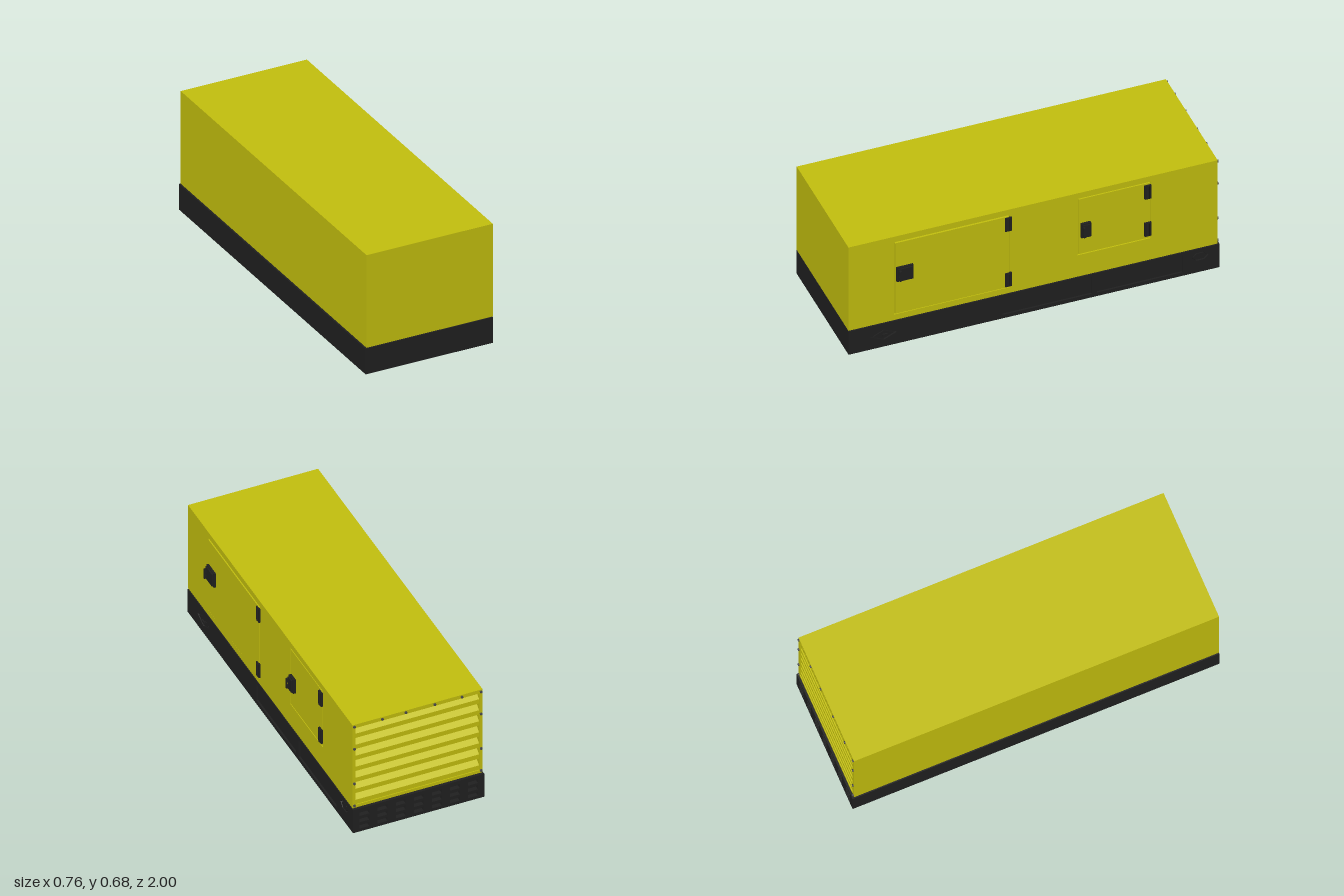
import * as THREE from 'three';

const yellow = new THREE.MeshStandardMaterial({ color: 0xc4c00e });
const black = new THREE.MeshStandardMaterial({ color: 0x202020 });
const steel = new THREE.MeshStandardMaterial({ color: 0x4a4a4a });

export function createModel() {
  const root = new THREE.Group();
  const group = (name, parent = root) => {
    const g = new THREE.Group();
    g.name = name;
    parent.add(g);
    return g;
  };
  const add = (parent, name, geometry, material) => {
    const m = new THREE.Mesh(geometry, material);
    m.name = name;
    parent.add(m);
    return m;
  };
  // Box given by its limits on each axis
  const box = (parent, name, material, [x0, x1], [y0, y1], [z0, z1]) => {
    const m = add(parent, name, new THREE.BoxGeometry(x1 - x0, y1 - y0, z1 - z0), material);
    m.position.set((x0 + x1) / 2, (y0 + y1) / 2, (z0 + z1) / 2);
    return m;
  };
  const poly = (pts) => pts.map(([u, v]) => new THREE.Vector2(u, v));
  const rect = (u0, u1, v0, v1) => poly([[u0, v0], [u1, v0], [u1, v1], [u0, v1]]);
  const plate = (outline, holes, depth) => {
    const s = new THREE.Shape(outline);
    holes.forEach((h) => s.holes.push(new THREE.Path(h)));
    return new THREE.ExtrudeGeometry(s, { depth, bevelEnabled: false });
  };
  // Side plate: outline drawn in (-z, y), thickness running towards +x
  const sidePlate = (parent, name, material, outline, holes, x, depth) => {
    const m = add(parent, name, plate(outline, holes, depth).rotateY(Math.PI / 2), material);
    m.position.x = x;
    return m;
  };

  // Base skid
  const base = group('base');
  box(base, 'baseBlock', black, [-0.38, 0.335], [0, 0.145], [-0.975, 1]);
  const diamond = (u, v, w, h) => poly([[u - w, v], [u, v - h], [u + w, v], [u, v + h]]);
  const hexagon = (u, v, w, h) =>
    poly([[u - w, v], [u - w / 2, v - h], [u + w / 2, v - h], [u + w, v], [u + w / 2, v + h], [u - w / 2, v + h]]);
  sidePlate(base, 'baseSidePlate', black, rect(-1, 0.975, 0, 0.145), [
    rect(-0.17, 0.31, 0.022, 0.128),
    rect(0.34, 0.8, 0.022, 0.128),
    diamond(-0.81, 0.075, 0.072, 0.032),
    hexagon(0.895, 0.098, 0.046, 0.024),
  ], 0.335, 0.01);
  sidePlate(base, 'diamondInset', black, diamond(-0.81, 0.075, 0.056, 0.025), [], 0.335, 0.008);
  sidePlate(base, 'hexagonInset', black, hexagon(0.895, 0.098, 0.036, 0.018), [], 0.335, 0.008);
  box(base, 'diamondPin', black, [0.34, 0.35], [0.067, 0.08], [0.79, 0.82]);

  // Ventilation slots at the back of the base
  const slots = [];
  for (let c = 0; c < 7; c++) {
    for (let r = 0; r < 3; r++) {
      const x = -0.318 + c * 0.1;
      const y = 0.018 + r * 0.04;
      slots.push(rect(x - 0.027, x + 0.027, y, y + 0.026));
    }
  }
  add(base, 'baseVentPlate', plate(rect(-0.38, 0.345, 0, 0.145), slots, 0.025), black).position.z = -1;

  // Enclosure, with the doors fitted into openings in its left wall
  const body = group('enclosure');
  box(body, 'enclosureBlock', yellow, [-0.375, 0.335], [0.15, 0.677], [-0.93, 1]);
  const doors = [
    { name: 'frontDoor', u: [-0.755, -0.13], y: [0.185, 0.642], lift: 0.003, hinge: [0.24, 0.59], hingeZ: 0.14, latch: [0.655, 0.745], gripZ: 0.73 },
    { name: 'rearDoor', u: [0.235, 0.63], y: [0.285, 0.642], lift: 0, hinge: [0.35, 0.585], hingeZ: -0.612, latch: [-0.303, -0.25], gripZ: -0.26 },
  ];
  sidePlate(body, 'enclosureSidePlate', yellow, rect(-1, 0.93, 0.15, 0.677),
    doors.map((d) => rect(...d.u, ...d.y)), 0.335, 0.008);

  for (const d of doors) {
    const door = group(d.name);
    const gap = 0.006;
    sidePlate(door, 'doorPanel', yellow,
      rect(d.u[0] + gap, d.u[1] - gap, d.y[0] + gap, d.y[1] - gap), [], 0.335, 0.008 + d.lift);

    // Hinges: a wide leaf with a raised barrel
    for (const y of d.hinge) {
      const hinge = group('hinge', door);
      box(hinge, 'hingeLeaf', black, [0.342, 0.353], [y - 0.042, y + 0.042], [d.hingeZ - 0.018, d.hingeZ + 0.018]);
      const barrel = add(hinge, 'hingeBarrel', new THREE.CylinderGeometry(0.009, 0.009, 0.076, 12), black);
      barrel.position.set(0.349, y, d.hingeZ);
    }

    // Latch: a bevelled block with a looped grip
    const latch = group('latch', door);
    const [z0, z1] = d.latch;
    box(latch, 'latchPlate', black, [0.342, 0.358], [0.398, 0.485], [z0, z1]);
    box(latch, 'latchBlock', black, [0.358, 0.366], [0.404, 0.479], [z0 + 0.006, z1 - 0.006]);
    const gz = [d.gripZ - 0.005, d.gripZ + 0.005];
    box(latch, 'gripBar', black, [0.373, 0.379], [0.412, 0.472], gz);
    box(latch, 'gripFoot', black, [0.364, 0.375], [0.412, 0.431], gz);
    box(latch, 'gripFoot', black, [0.364, 0.375], [0.448, 0.472], gz);
  }

  // Louvred grille at the back
  const grille = group('rearGrille');
  add(grille, 'grilleFrame', plate(rect(-0.375, 0.343, 0.15, 0.677),
    [rect(-0.358, 0.326, 0.168, 0.655)], 0.06), yellow).position.z = -0.99;
  const pitch = 0.07;
  for (let i = 0; i < 7; i++) {
    const y = 0.168 + i * pitch;
    const profile = poly([[0.985, y], [0.985, y + 0.027], [0.93, y + 0.067], [0.93, y + 0.04]]);
    sidePlate(grille, 'louvre', yellow, profile, [], -0.36, 0.688);
  }

  // Screws along the top and sides of the grille frame
  const screws = [-0.26, -0.11, 0.05, 0.18].map((x) => [x, 0.666]);
  for (const x of [-0.366, 0.334]) for (const y of [0.165, 0.305, 0.525, 0.665]) screws.push([x, y]);
  for (const [x, y] of screws) {
    const screw = add(grille, 'screw', new THREE.CylinderGeometry(0.007, 0.007, 0.009, 12), steel);
    screw.rotation.x = Math.PI / 2;
    screw.position.set(x, y, -0.992);
  }
  return root;
}
